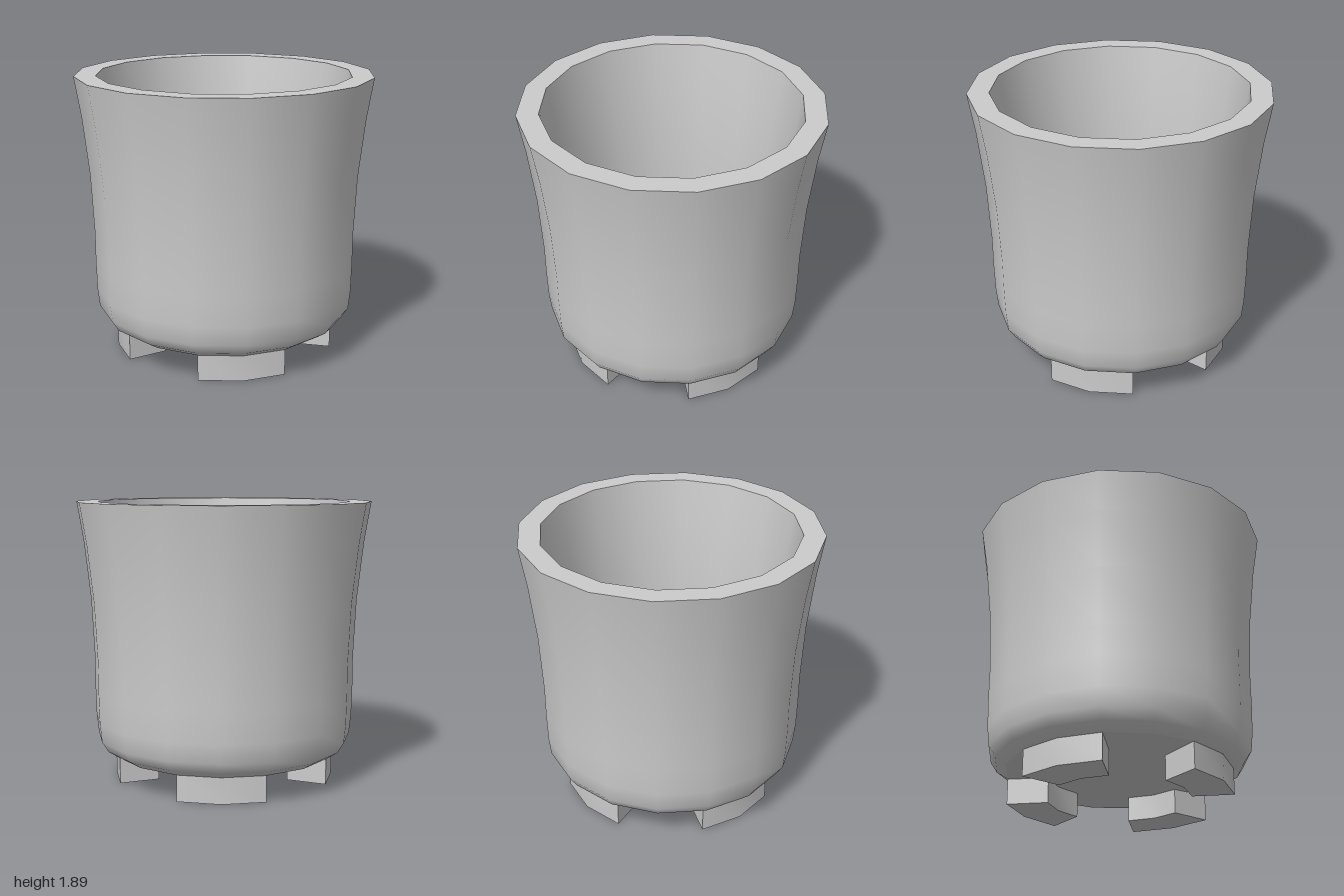
import * as THREE from 'three';
import { toCreasedNormals } from 'three/addons/utils/BufferGeometryUtils.js';

const SIDES = 16;
const material = new THREE.MeshStandardMaterial({ color: 0xcccccc });

// Smooth surface of revolution; each separate profile ends in a sharp edge
function lathe(name, profile) {
  const points = profile.map(([r, y]) => new THREE.Vector2(r, y));
  const mesh = new THREE.Mesh(new THREE.LatheGeometry(points, SIDES), material);
  mesh.name = name;
  return mesh;
}

// Arc-shaped foot spanning two sides of the 16-sided base
function footGeometry(inner, outer, height) {
  const step = (Math.PI * 2) / SIDES;
  const at = (r, i) => new THREE.Vector2(r * Math.cos(i * step), r * Math.sin(i * step));
  const shape = new THREE.Shape([
    at(outer, -1), at(outer, 0), at(outer, 1),
    at(inner, 1), at(inner, 0), at(inner, -1),
  ]);
  const geometry = new THREE.ExtrudeGeometry(shape, { depth: height, bevelEnabled: false });
  geometry.rotateX(-Math.PI / 2);
  return toCreasedNormals(geometry, 0.5);
}

export function createModel() {
  const model = new THREE.Group();
  model.name = 'flowerPot';

  // Pot shell: underside, flared outer wall, flat rim, hollow inside
  model.add(
    lathe('underside', [[0, 0.165], [0.48, 0.166], [0.755, 0.177]]),
    lathe('outerWall', [
      [0.755, 0.177], [0.83, 0.225], [0.875, 0.295], [0.888, 0.42], [0.893, 0.62],
      [0.893, 0.83], [0.912, 1.23], [0.955, 1.62], [1, 1.895],
    ]),
    lathe('rim', [[1, 1.895], [0.855, 1.895]]),
    lathe('innerWallAndFloor', [
      [0.855, 1.895], [0.815, 1.6], [0.775, 1.22], [0.758, 0.83], [0.756, 0.62],
      [0.748, 0.44], [0.735, 0.37], [0.68, 0.325], [0.5, 0.315], [0, 0.315],
    ]),
  );

  // Four feet, one under each side
  const geometry = footGeometry(0.476, 0.753, 0.178);
  ['leftFoot', 'backFoot', 'rightFoot', 'frontFoot'].forEach((name, i) => {
    const foot = new THREE.Mesh(geometry, material);
    foot.name = name;
    foot.rotation.y = (i * Math.PI) / 2;
    model.add(foot);
  });

  return model;
}
